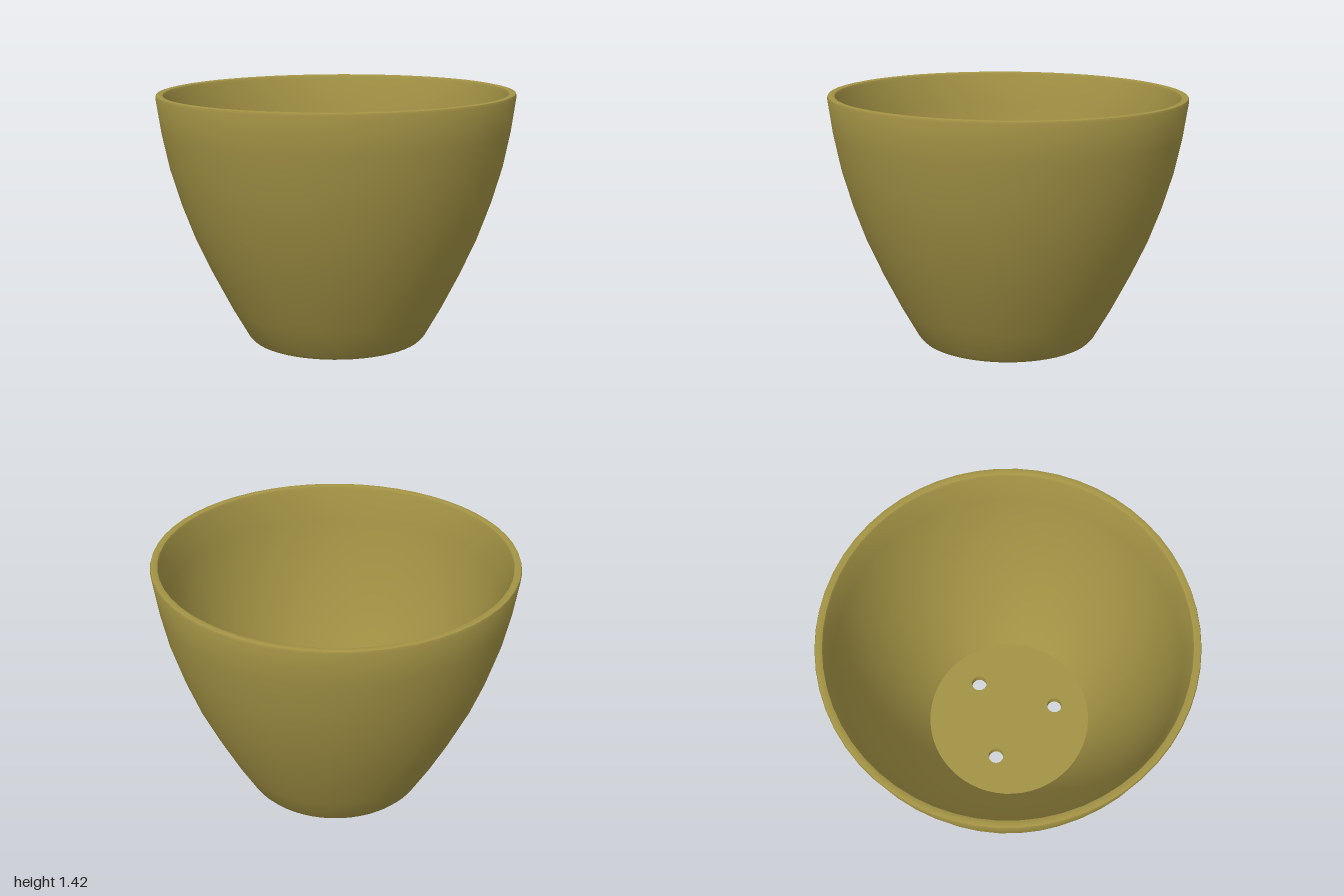
import * as THREE from 'three';
import { toCreasedNormals } from 'three/addons/utils/BufferGeometryUtils.js';

export function createModel() {
  const clay = new THREE.MeshStandardMaterial({ color: 0xa39345 });
  clay.name = 'olive clay';
  const model = new THREE.Group();
  model.name = 'flowerPot';
  const add = (name, geometry) => {
    const mesh = new THREE.Mesh(geometry, clay);
    mesh.name = name;
    model.add(mesh);
    return mesh;
  };

  // Wall: foot ring, curved outside, rim, then down the inside to the floor
  const profile = [
    [0.43, 0.045], [0.445, 0.005], [0.47, 0], [0.495, 0.008], [0.515, 0.03],
    [0.61, 0.2], [0.71, 0.4], [0.8, 0.6], [0.872, 0.8], [0.93, 1.0], [0.97, 1.2], [0.997, 1.395],
    [0.993, 1.408], [0.975, 1.412], [0.957, 1.406], [0.95, 1.39],
    [0.92, 1.2], [0.877, 1.0], [0.818, 0.8], [0.745, 0.6], [0.655, 0.4], [0.55, 0.2], [0.485, 0.1],
  ].map(([r, y]) => new THREE.Vector2(r, y));
  add('wall', toCreasedNormals(new THREE.LatheGeometry(profile, 56), 0.75));

  // Floor, raised above the foot ring, with three drainage holes
  const disc = new THREE.Shape().absarc(0, 0, 0.49, 0, Math.PI * 2);
  for (const [x, z] of [[0.01, -0.29], [-0.225, 0.13], [0.26, 0.13]]) {
    disc.holes.push(new THREE.Path().absarc(x, -z, 0.045, 0, Math.PI * 2, true));
  }
  const floor = add('floor', new THREE.ExtrudeGeometry(disc, {
    depth: 0.06, bevelEnabled: false, curveSegments: 28,
  }));
  floor.rotation.x = -Math.PI / 2;
  floor.position.y = 0.043;

  // Slight hand-made lean
  model.rotation.z = 0.009;
  model.position.set(0.006, 0.006, 0);
  const root = new THREE.Group();
  root.add(model);
  return root;
}
